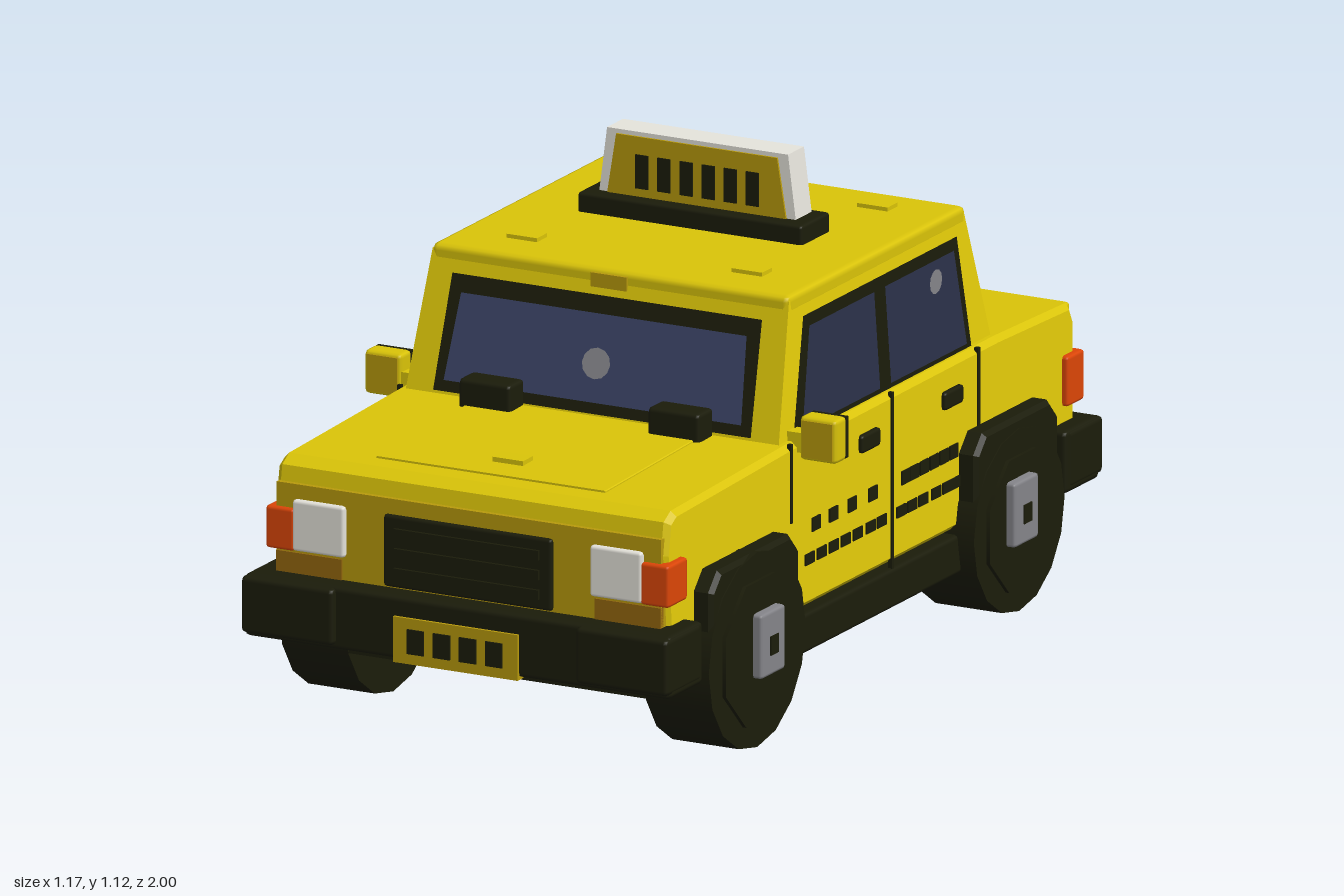
import * as THREE from 'three';
import { RoundedBoxGeometry } from 'three/addons/geometries/RoundedBoxGeometry.js';

const mat = (name, color, extra = {}) => {
  const m = new THREE.MeshStandardMaterial({ color, ...extra });
  m.name = name;
  return m;
};

export function createModel() {
  const car = new THREE.Group();
  car.name = 'taxi';
  const both = { side: THREE.DoubleSide };
  const yellow = mat('taxiYellow', 0xdac408);
  const bright = mat('doorYellow', 0xf2d80a);
  const gold = mat('panelGold', 0xb89a0c);
  const brown = mat('shadeBrown', 0x95680e);
  const black = mat('trimBlack', 0x1b1c0a, both);
  const glass = mat('windowGlass', 0x3a4263, both);
  const darkGlass = mat('sideGlass', 0x2b3049, both);
  const white = mat('lampWhite', 0xe6e4dc);
  const orange = mat('signalOrange', 0xdd4607);
  const gray = mat('hubGray', 0x85858a, both);

  const add = (name, geo, m, x = 0, y = 0, z = 0) => {
    const mesh = new THREE.Mesh(geo, m);
    mesh.name = name;
    mesh.position.set(x, y, z);
    car.add(mesh);
    return mesh;
  };
  // box given by its limits on each axis
  const box = (name, m, x0, x1, y0, y1, z0, z1, r = 0) => {
    const s = [x1 - x0, y1 - y0, z1 - z0];
    const g = r ? new RoundedBoxGeometry(...s, 1, r) : new THREE.BoxGeometry(...s);
    return add(name, g, m, (x0 + x1) / 2, (y0 + y1) / 2, (z0 + z1) / 2);
  };
  // the same box on both sides of the car
  const pair = (name, m, x0, x1, ...rest) => {
    box(name + 'Left', m, x0, x1, ...rest);
    box(name + 'Right', m, -x1, -x0, ...rest);
  };
  // (z, y) outline extruded along x
  const slab = (name, m, pts, x0, x1, bevel) => {
    const shape = new THREE.Shape(pts.map(([z, y]) => new THREE.Vector2(-z, y)));
    const g = new THREE.ExtrudeGeometry(shape, {
      depth: x1 - x0 - 2 * bevel, bevelSize: bevel,
      bevelOffset: -bevel, bevelThickness: bevel, bevelSegments: 1,
    });
    g.translate(0, 0, bevel).rotateY(Math.PI / 2);
    return add(name, g, m, x0);
  };

  // lower body with hood and trunk; the flanks are brighter
  slab('body', [bright, yellow], [
    [-0.95, 0.34], [-0.83, 0.23], [0.83, 0.23], [0.91, 0.34], [0.925, 0.51], [0.912, 0.585],
    [0.88, 0.603], [0.36, 0.618], [-0.6, 0.62], [-0.93, 0.61], [-0.95, 0.57],
  ], -0.487, 0.487, 0.013);
  slab('hoodPanel', yellow, [[0.83, 0.58], [0.83, 0.609], [0.37, 0.622], [0.37, 0.59]], -0.285, 0.285, 0.002);
  box('frontPanel', gold, -0.478, 0.478, 0.345, 0.55, 0.9, 0.93);
  pair('lampSill', brown, 0.315, 0.478, 0.345, 0.395, 0.92, 0.934);

  // tapered cabin
  const at = (y) => {
    const t = (y - 0.6) / 0.32;
    return { front: 0.37 - 0.09 * t, back: -0.61 + 0.09 * t, half: 0.465 - 0.022 * t };
  };
  const cabin = new THREE.BoxGeometry(2, 0.32, 2).translate(0, 0.76, 0);
  const p = cabin.attributes.position;
  for (let i = 0; i < p.count; i++) {
    const c = at(p.getY(i));
    p.setX(i, p.getX(i) * c.half);
    p.setZ(i, p.getZ(i) > 0 ? c.front : c.back);
  }
  cabin.computeVertexNormals();
  add('cabin', cabin, [bright, bright, yellow, yellow, yellow, yellow]);
  box('roof', yellow, -0.445, 0.445, 0.885, 0.932, -0.53, 0.285, 0.015);

  // flat panel on a cabin face, u running to the viewer's right:
  // bottom span a0..a1, top span b0..b1
  const panel = (name, m, face, y0, y1, [a0, a1, b0, b1], off) => {
    const point = (u, y) => {
      const c = at(y);
      if (face === 'front') return [u, y, c.front + off];
      if (face === 'back') return [-u, y, c.back - off];
      return face === 'left' ? [c.half + off, y, -u] : [-c.half - off, y, u];
    };
    const g = new THREE.BufferGeometry();
    g.setAttribute('position', new THREE.Float32BufferAttribute(
      [...point(a0, y0), ...point(a1, y0), ...point(b1, y1), ...point(b0, y1)], 3));
    g.setIndex([0, 1, 2, 0, 2, 3]);
    g.computeVertexNormals();
    add(name, g, m);
  };
  for (const [face, label] of [['front', 'windshield'], ['back', 'rearWindow']]) {
    panel(label + 'Frame', black, face, 0.625, 0.875, [-0.395, 0.395, -0.385, 0.385], 0.004);
    panel(label + 'Glass', glass, face, 0.65, 0.838, [-0.37, 0.37, -0.355, 0.355], 0.009);
  }
  // side windows, given as z spans and mirrored
  const sidePanel = (name, m, y0, y1, [a, b, c, d], off) => {
    panel(name + 'Left', m, 'left', y0, y1, [-a, -b, -c, -d], off);
    panel(name + 'Right', m, 'right', y0, y1, [b, a, d, c], off);
  };
  sidePanel('sideWindowFrame', black, 0.618, 0.875, [0.305, -0.51, 0.228, -0.475], 0.004);
  sidePanel('frontSideGlass', darkGlass, 0.632, 0.85, [0.27, -0.085, 0.212, -0.085], 0.009);
  sidePanel('rearSideGlass', darkGlass, 0.632, 0.85, [-0.135, -0.482, -0.135, -0.45], 0.009);

  // round window stickers
  const dot = add('windshieldSticker', new THREE.CircleGeometry(0.035, 12), gray, 0, 0.735, at(0.735).front + 0.016);
  dot.rotation.x = -0.27;
  const dot2 = add('sideWindowSticker', new THREE.CircleGeometry(0.028, 12), gray, at(0.805).half + 0.013, 0.805, -0.355);
  dot2.rotation.y = Math.PI / 2;

  // roof sign
  box('signBase', black, -0.28, 0.28, 0.925, 0.976, -0.21, -0.08, 0.008);
  const trapezoid = (b, t, y0, y1, depth) => new THREE.ExtrudeGeometry(new THREE.Shape(
    [[-b, y0], [b, y0], [t, y1], [-t, y1]].map((v) => new THREE.Vector2(...v))), { depth, bevelEnabled: false });
  add('roofSign', trapezoid(0.245, 0.225, 0.97, 1.122, 0.073), white, 0, 0, -0.19);
  add('signPanel', trapezoid(0.222, 0.2, 0.976, 1.112, 0.005), gold, 0, 0, -0.117);
  for (let i = 0; i < 6; i++) {
    const x = -0.135 + i * 0.055;
    box('signBar', black, x - 0.016, x + 0.016, 0.995, 1.072, -0.113, -0.109);
  }

  // small raised studs on roof, hood and trunk
  for (const [x, y, z] of [[-0.28, 0.93, 0.15], [0.28, 0.93, 0.15], [-0.28, 0.93, -0.425],
    [0.28, 0.93, -0.425], [0, 0.611, 0.73], [0, 0.614, -0.855]])
    box('stud', yellow, x - 0.038, x + 0.038, y - 0.01, y + 0.011, z - 0.023, z + 0.023);
  box('roofClip', gold, -0.045, 0.045, 0.89, 0.922, 0.25, 0.291);

  // bumpers and number plates
  for (const s of [1, -1]) {
    const end = s > 0 ? 'front' : 'rear';
    const zz = (a, b) => (s > 0 ? [a, b] : [-b, -a]);
    box(end + 'Bumper', black, -0.53, 0.53, 0.205, 0.348, ...zz(0.83, 0.986), 0.012);
    pair(end + 'BumperEnd', black, 0.3, 0.532, 0.215, 0.345, ...zz(0.84, 1), 0.012);
    if (s > 0) box('frontPlate', gold, -0.155, 0.155, 0.2, 0.304, 0.965, 0.993);
    else box('rearPlate', brown, -0.155, 0.155, 0.135, 0.225, -0.965, -0.945);
    for (let i = 0; i < 4; i++) {
      const x = -0.098 + i * 0.065;
      const [h, z] = s > 0 ? [0.252, 0.992] : [0.44, 0.969];
      box(end + 'PlateBar', black, x - 0.021, x + 0.021, h - 0.028, h + 0.028, ...zz(z, z + 0.005));
    }
  }
  box('rearPanel', gold, -0.41, 0.41, 0.345, 0.52, -0.955, -0.93);
  box('trunkPanel', gold, -0.18, 0.18, 0.38, 0.5, -0.97, -0.94);
  box('trunkEdge', yellow, -0.47, 0.47, 0.545, 0.605, -0.962, -0.93, 0.01);
  box('plateBracket', black, -0.13, 0.13, 0.15, 0.23, -0.95, -0.84);
  add('exhaust', new THREE.CylinderGeometry(0.03, 0.03, 0.13, 10).rotateX(Math.PI / 2), black, -0.22, 0.16, -0.89);

  // grille and lights
  box('grille', black, -0.21, 0.21, 0.35, 0.515, 0.88, 0.938, 0.008);
  for (let i = 0; i < 3; i++)
    box('grilleSlat', black, -0.18, 0.18, 0.375 + i * 0.045, 0.397 + i * 0.045, 0.93, 0.945);
  pair('headlight', white, 0.305, 0.435, 0.4, 0.517, 0.86, 0.942, 0.008);
  pair('turnSignal', orange, 0.43, 0.502, 0.398, 0.495, 0.85, 0.94, 0.008);
  pair('tailLight', orange, 0.41, 0.502, 0.385, 0.5, -0.967, -0.89, 0.008);

  // mirrors with dark backs, and wiper blocks
  pair('mirror', yellow, 0.495, 0.587, 0.58, 0.68, 0.278, 0.33, 0.01);
  pair('mirrorFront', gold, 0.503, 0.579, 0.588, 0.672, 0.328, 0.333);
  pair('mirrorGlass', black, 0.498, 0.584, 0.583, 0.677, 0.268, 0.28);
  pair('mirrorArm', yellow, 0.44, 0.51, 0.595, 0.64, 0.285, 0.325);
  pair('frontWiper', black, 0.17, 0.3, 0.605, 0.68, 0.36, 0.428, 0.01);
  pair('rearWiper', black, 0.19, 0.31, 0.61, 0.675, -0.71, -0.63, 0.01);
  box('rearWiperBar', black, -0.29, 0.29, 0.615, 0.65, -0.695, -0.655);

  // doors: seams, handles and rows of dark dashes
  for (const [z, y] of [[-0.11, 0.2], [0.352, 0.44], [-0.505, 0.44]])
    pair('doorSeam', black, 0.48, 0.49, y, 0.62, z - 0.005, z + 0.005);
  for (const z of [0, -0.38]) pair('doorHandle', black, 0.48, 0.499, 0.518, 0.56, z - 0.042, z + 0.042, 0.008);
  for (const z of [0.24, 0.16, 0.075, -0.02, -0.17, -0.21, -0.255, -0.3, -0.345, -0.39])
    pair('upperDash', black, 0.483, 0.491, 0.397, 0.428, z - 0.019, z + 0.019);
  for (const z of [0.27, 0.215, 0.16, 0.105, 0.05, -0.01, -0.06, -0.15, -0.2, -0.25, -0.31, -0.36, -0.4])
    pair('lowerDash', black, 0.483, 0.491, 0.327, 0.352, z - 0.021, z + 0.021);

  // sills and underbody
  pair('sill', black, 0.38, 0.495, 0.13, 0.22, -0.44, 0.4, 0.01);
  box('floor', black, -0.4, 0.4, 0.14, 0.24, -0.8, 0.8);
  box('gearbox', black, -0.12, 0.12, 0.1, 0.16, -0.5, 0.5);
  for (const z of [0.24, 0.02, -0.17]) box('crossBeam', black, -0.24, 0.24, 0.088, 0.15, z - 0.05, z + 0.05);

  // wheels, square arches and hubs
  for (const [end, z, r] of [['front', 0.595, 0.222], ['rear', -0.605, 0.208]]) {
    for (const s of [1, -1]) {
      const side = (a, b) => (s > 0 ? [a, b] : [-b, -a]);
      const tyre = new THREE.CylinderGeometry(r, r, 0.165, 16).rotateZ(Math.PI / 2);
      add(end + 'Wheel', tyre, black, s * 0.4525, r, z);
      const face = new THREE.CylinderGeometry(r * 0.78, r * 0.78, 0.03, 8).rotateZ(Math.PI / 2).rotateX(Math.PI / 8);
      add(end + 'WheelFace', face, black, s * 0.529, r, z);
      const h = r - 0.02;
      slab(end + 'Arch', black, [[z - h, 0.22], [z + h, 0.22], [z + h, 0.4], [z + h - 0.04, 0.442],
        [z - h + 0.04, 0.442], [z - h, 0.4]], ...side(0.4, 0.532), 0.01);
      const hz = z - 0.02 * Math.sign(z);
      box(end + 'Hub', gray, ...side(0.53, 0.566), 0.165, 0.312, hz - 0.055, hz + 0.055, 0.008);
      box(end + 'HubNut', black, ...side(0.564, 0.569), 0.212, 0.255, hz - 0.018, hz + 0.018);
    }
  }
  return car;
}
